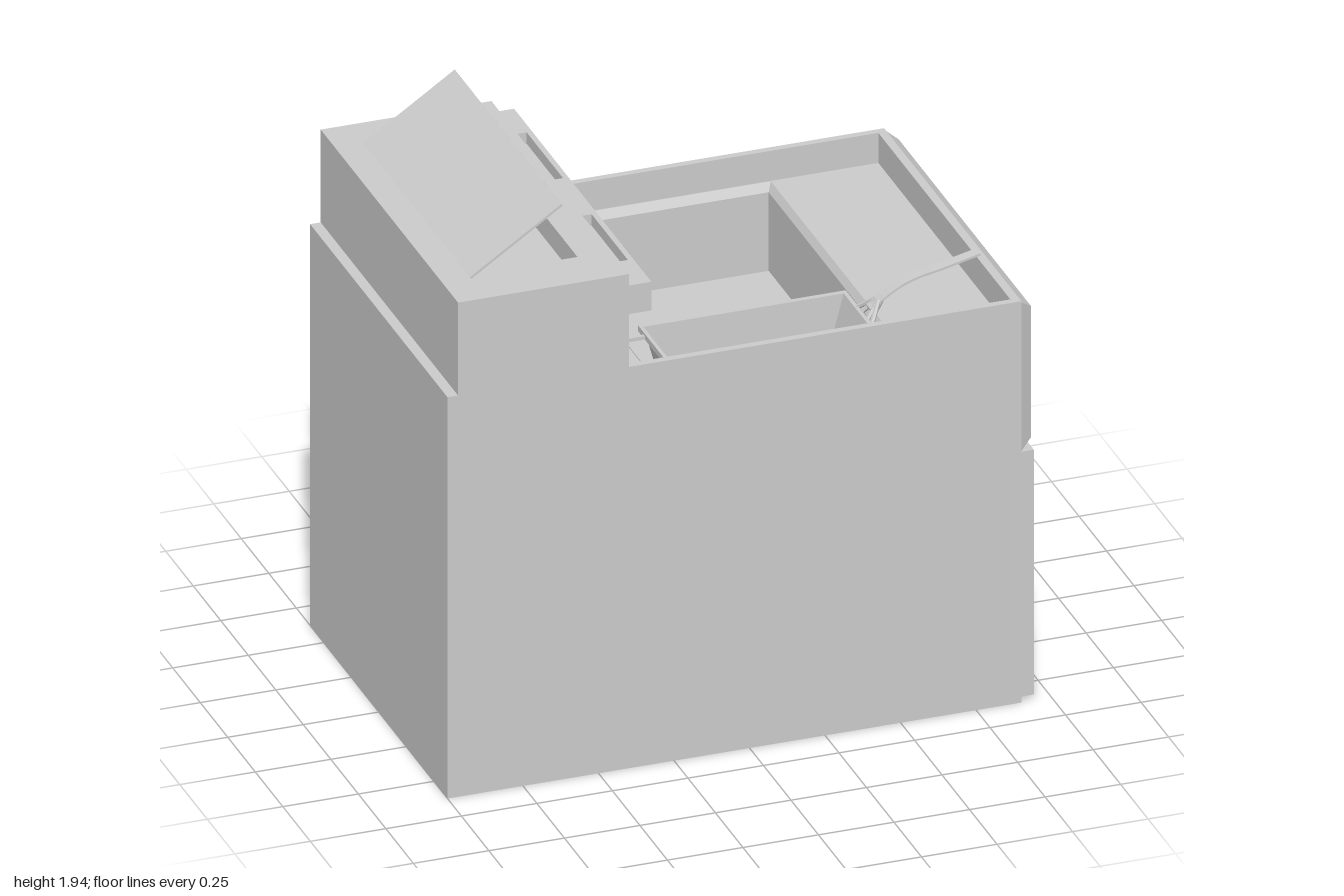
import * as THREE from 'three';

const mat = new THREE.MeshStandardMaterial({ color: 0xcccccc, flatShading: true });
const thin = new THREE.MeshStandardMaterial({ color: 0xcccccc, flatShading: true, side: THREE.DoubleSide });

function add(group, name, geometry, material = mat) {
  const mesh = new THREE.Mesh(geometry, material);
  mesh.name = name;
  group.add(mesh);
  return mesh;
}

function box(x0, x1, y0, y1, z0, z1) {
  return new THREE.BoxGeometry(x1 - x0, y1 - y0, z1 - z0)
    .translate((x0 + x1) / 2, (y0 + y1) / 2, (z0 + z1) / 2);
}

// Horizontal slab with rectangular through-holes; rectangles are [x0, x1, z0, z1]
function slab(rect, y0, y1, holes = []) {
  const corners = ([x0, x1, z0, z1]) =>
    [[x0, -z1], [x1, -z1], [x1, -z0], [x0, -z0]].map(p => new THREE.Vector2(...p));
  const shape = new THREE.Shape(corners(rect));
  holes.forEach(h => shape.holes.push(new THREE.Path(corners(h))));
  return new THREE.ExtrudeGeometry(shape, { depth: y1 - y0, bevelEnabled: false })
    .rotateX(-Math.PI / 2).translate(0, y0, 0);
}

// Skin through rectangular sections [x0, x1, z0, z1, y], optionally closed at the last one
function loft(sections, cap = false) {
  const pos = [], index = [];
  sections.forEach(([x0, x1, z0, z1, y]) => pos.push(x0, y, z1, x1, y, z1, x1, y, z0, x0, y, z0));
  for (let s = 0; s < sections.length - 1; s++) {
    for (let i = 0; i < 4; i++) {
      const a = s * 4 + i, b = s * 4 + (i + 1) % 4;
      index.push(a, b, b + 4, a, b + 4, a + 4);
    }
  }
  const e = (sections.length - 1) * 4;
  if (cap) index.push(e, e + 1, e + 2, e, e + 2, e + 3);
  const g = new THREE.BufferGeometry();
  g.setAttribute('position', new THREE.Float32BufferAttribute(pos, 3));
  g.setIndex(index);
  g.computeVertexNormals();
  return g;
}

// Side profile in x/y swept between two z positions
function sweep(points, z0, z1) {
  const shape = new THREE.Shape(points.map(p => new THREE.Vector2(...p)));
  return new THREE.ExtrudeGeometry(shape, { depth: z1 - z0, bevelEnabled: false }).translate(0, 0, z0);
}

function rod(a, b, r) {
  const path = new THREE.LineCurve3(new THREE.Vector3(...a), new THREE.Vector3(...b));
  return new THREE.TubeGeometry(path, 1, r, 6);
}

export function createModel() {
  const model = new THREE.Group();
  model.name = 'deepFryer';
  const W = 0.624;

  // Cabinet with tray and vat sunk into the top
  const cabinet = new THREE.Group();
  cabinet.name = 'cabinet';
  model.add(cabinet);
  const plan = [-1, 0.9, -W, W];
  const vat = [-0.265, 0.5, -0.575, 0.575];
  const vatLip = [-0.285, 0.515, -0.597, 0.597];
  add(cabinet, 'cabinetBase', box(-1, 0.9, 0, 1, -W, W));
  add(cabinet, 'vatWalls', slab(plan, 1, 1.275, [vat]));
  add(cabinet, 'trayFloor', slab(plan, 1.275, 1.3, [vatLip]));
  add(cabinet, 'vatChamfer', loft([[...vatLip, 1.3], [...vat, 1.275]]), thin);
  add(cabinet, 'topRim', slab(plan, 1.3, 1.405, [[-0.4, 0.872, -0.6, 0.6]]));

  // Bevelled control panel on the working side
  add(model, 'controlPanel', loft([
    [-1.4, -0.88, -W, W, 0.9],
    [-1.37, -0.91, -0.6, 0.6, 0.94],
  ], true).rotateZ(-Math.PI / 2), thin);

  // Door and its pull lip
  add(model, 'door', box(0.9, 0.945, 0.015, 0.872, -0.613, 0.613));
  add(model, 'doorPull', sweep(
    [[0.94, 0.867], [0.975, 0.868], [1, 0.857], [1, 0.861], [0.975, 0.873], [0.94, 0.872]], -0.613, -0.2));

  // Rear housing with an open recess on top
  const housing = new THREE.Group();
  housing.name = 'rearHousing';
  model.add(housing);
  const hPlan = [-0.965, -0.4, -W, W];
  add(housing, 'housingBase', slab(hPlan, 1.4, 1.65));
  add(housing, 'housingTop', slab(hPlan, 1.65, 1.73, [[-0.87, -0.51, -0.46, 0.46]]));

  // Overhanging ledge with two slots
  const ledge = [-0.4, -0.325, -W, W];
  add(housing, 'ledge', slab(ledge, 1.59, 1.65));
  add(housing, 'slottedLedge', slab(ledge, 1.65, 1.69,
    [-0.295, 0.295].map(z => [-0.385, -0.343, z - 0.165, z + 0.165])));

  // Lid hinged open over the recess
  const lid = add(housing, 'lid', box(0, 0.365, -0.004, 0.004, -0.485, 0.485));
  lid.position.set(-0.873, 1.732, 0);
  lid.rotation.z = Math.atan2(0.203, 0.303);

  // Frying basket: flat rim, tapered walls and floor
  const basket = new THREE.Group();
  basket.name = 'basket';
  model.add(basket);
  add(basket, 'basketBowl', loft([
    [-0.22, 0.468, 0.212, 0.518, 1.3],
    [-0.22, 0.468, 0.212, 0.518, 1.32],
    [-0.208, 0.455, 0.23, 0.5, 1.32],
    [-0.14, 0.38, 0.245, 0.485, 1.06],
  ], true), thin);
  for (const z of [0.27, 0.46]) {
    add(basket, 'basketHook', box(-0.275, -0.22, 1.3, 1.312, z - 0.006, z + 0.006));
  }

  // Handle bracket and curved grip
  const hz = 0.385;
  for (const dz of [-0.07, -0.03, 0.03, 0.07]) {
    add(basket, 'handleBracket', rod([0.464, 1.31, hz + dz], [0.51, 1.365, hz + dz * 0.15], 0.008));
  }
  add(basket, 'handleStay', rod([0.464, 1.25, hz], [0.53, 1.372, hz], 0.008));
  const curve = new THREE.SplineCurve(
    [[0.48, 1.34], [0.57, 1.4], [0.64, 1.427], [0.71, 1.441], [0.845, 1.472]].map(p => new THREE.Vector2(...p)));
  const line = curve.getPoints(16);
  const profile = [
    ...line.map(p => [p.x, p.y - 0.004]),
    ...line.slice().reverse().map(p => [p.x, p.y + 0.004]),
  ];
  add(basket, 'handle', sweep(profile, hz - 0.019, hz + 0.019));

  return model;
}
